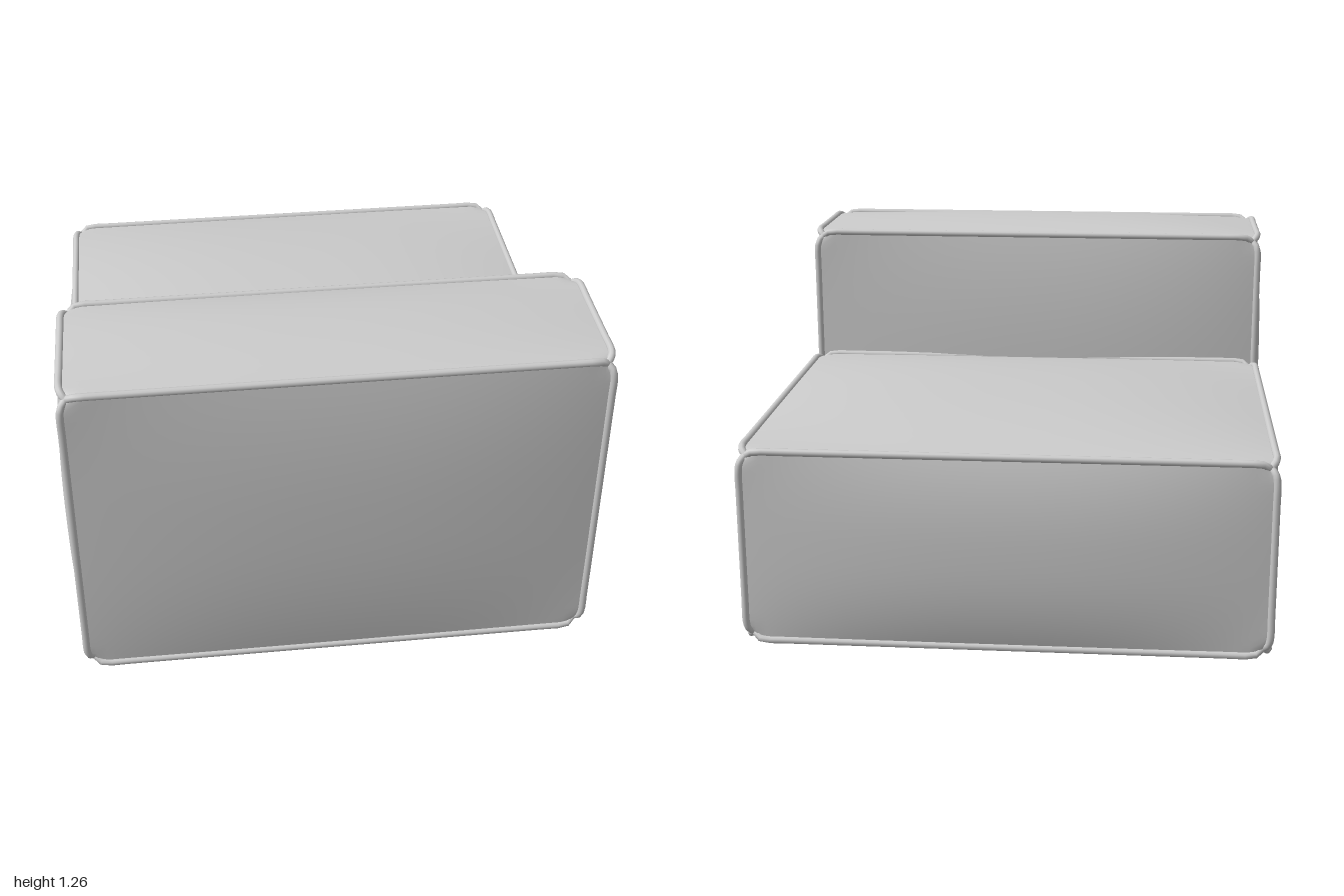
import * as THREE from 'three';

const AXES = ['x', 'y', 'z'];
const material = new THREE.MeshStandardMaterial({ color: 0xcccccc, side: THREE.DoubleSide });

// Pulls in the eight corners of a box with half sizes h so that they are soft
function softenCorner(p, h) {
  let k = 1;
  for (const a of AXES) k *= Math.max(0, 1 - (h[a] - Math.abs(p[a])) / 0.07) ** 2;
  for (const a of AXES) p[a] -= Math.sign(p[a]) * 0.022 * k;
  return p;
}

// Upholstered block: every face swells by its own amount, its edges stay straight
function pillowGeometry(h, bulge) {
  const geo = new THREE.BoxGeometry(2, 2, 2, 24, 24, 24);
  const pos = geo.attributes.position, nor = geo.attributes.normal;
  const p = new THREE.Vector3(), n = new THREE.Vector3();
  for (let i = 0; i < pos.count; i++) {
    p.fromBufferAttribute(pos, i);
    n.fromBufferAttribute(nor, i);
    // Closer spacing near the edges
    for (const a of AXES) p[a] = Math.sin(p[a] * Math.PI / 2);
    let swell = 1, amount = 0;
    for (const a of AXES) {
      if (Math.abs(n[a]) > 0.5) amount = bulge[(n[a] > 0 ? '+' : '-') + a];
      else swell *= 1 - Math.abs(p[a]) ** 2.4;
    }
    p.multiply(h);
    softenCorner(p, h).addScaledVector(n, amount * swell);
    pos.setXYZ(i, p.x, p.y, p.z);
  }
  geo.computeVertexNormals();
  return geo;
}

// Piping along all twelve edges, with a round joint in each corner
function addPiping(group, h, radius) {
  const joint = new THREE.SphereGeometry(radius * 1.05, 12, 8);
  AXES.forEach((a, i) => {
    const b = AXES[(i + 1) % 3], c = AXES[(i + 2) % 3];
    for (const sb of [-1, 1]) for (const sc of [-1, 1]) {
      const points = [];
      for (const d of [-1, 1]) {
        for (const inset of d < 0 ? [0, 0.02, 0.04, 0.07, 0.15] : [0.15, 0.07, 0.04, 0.02, 0]) {
          const p = new THREE.Vector3();
          p[a] = d * (h[a] - inset);
          p[b] = sb * h[b];
          p[c] = sc * h[c];
          points.push(softenCorner(p, h));
        }
      }
      const pipe = new THREE.Mesh(new THREE.TubeGeometry(new THREE.CatmullRomCurve3(points), 48, radius, 10), material);
      pipe.name = 'piping';
      group.add(pipe);
      if (a === 'x') for (const end of [points[0], points[points.length - 1]]) {
        const ball = new THREE.Mesh(joint, material);
        ball.name = 'pipingCorner';
        ball.position.copy(end);
        group.add(ball);
      }
    }
  });
}

function cushion(name, min, max, bulge) {
  const lo = new THREE.Vector3(...min), hi = new THREE.Vector3(...max);
  const h = hi.clone().sub(lo).multiplyScalar(0.5);
  const group = new THREE.Group();
  group.name = name;
  group.position.copy(lo).add(hi).multiplyScalar(0.5);
  const body = new THREE.Mesh(pillowGeometry(h, bulge), material);
  body.name = name + 'Body';
  group.add(body);
  addPiping(group, h, 0.013);
  return group;
}

export function createModel() {
  const model = new THREE.Group();
  model.name = 'armlessSofaModule';
  model.add(
    // Low, deep seat block
    cushion('seat', [-0.907, 0.022, -0.957], [0.907, 0.711, 0.398],
      { '+x': 0.053, '-x': 0.053, '+y': 0.064, '-y': 0.018, '+z': 0.02, '-z': 0.043 }),
    // Tall, narrow backrest block
    cushion('backrest', [-0.907, 0.022, 0.431], [0.907, 1.222, 0.962],
      { '+x': 0.036, '-x': 0.036, '+y': 0.04, '-y': 0.022, '+z': 0.038, '-z': 0.047 })
  );
  return model;
}
